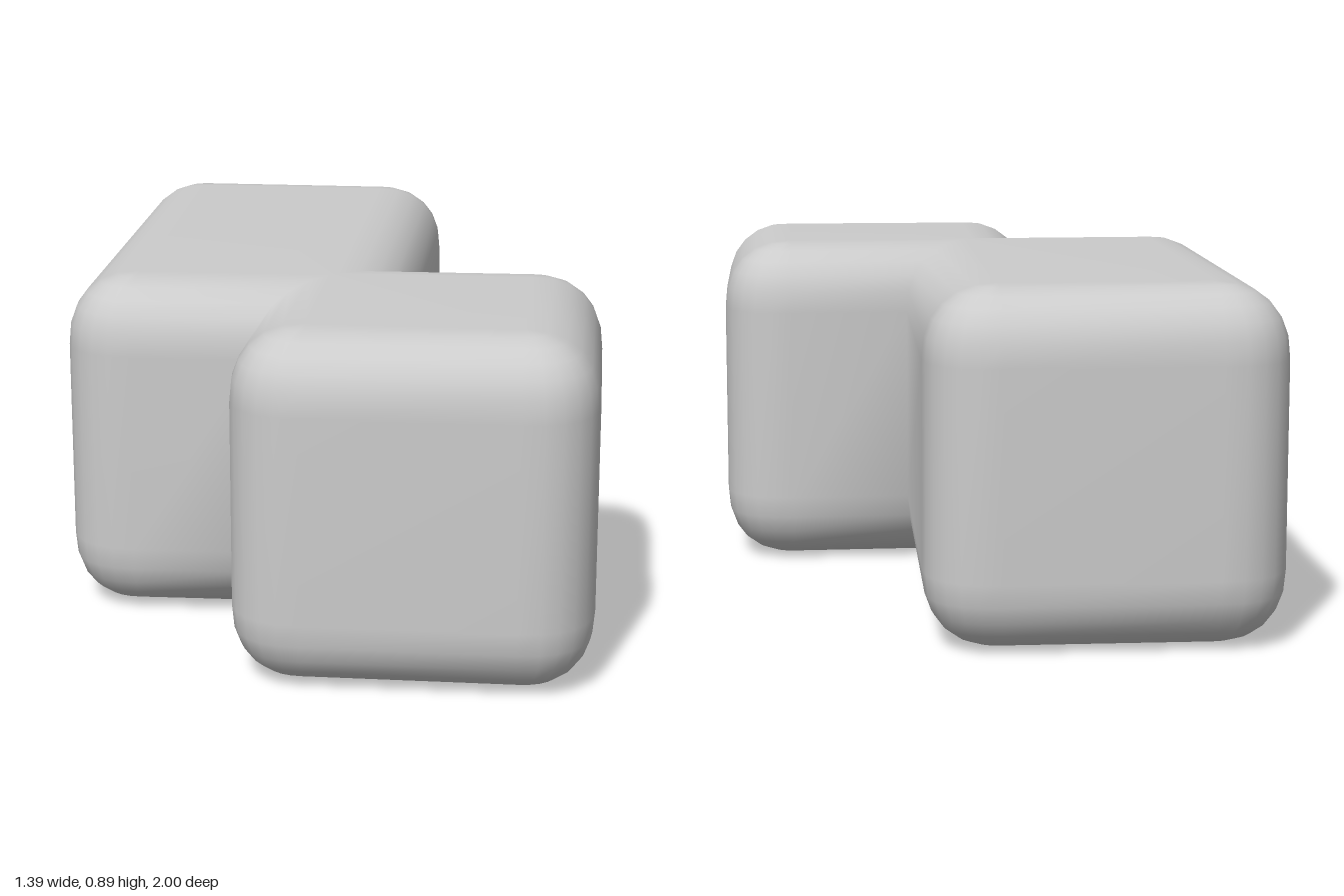
import * as THREE from 'three';
import { mergeVertices } from 'three/addons/utils/BufferGeometryUtils.js';

const HEIGHT = 0.89, R = 0.185, STEPS = 6, POWER = 2 / 2.3;

// footprint corners: x, z, outward signs, and the start of the corner arc (null = inner corner)
const CORNERS = [
  [-0.695, -1, -1, -1, 2],
  [0.2, -1, 1, -1, 3],
  [0.19, 0.11, 1, -1, null],
  [0.695, 0.1, 1, -1, 3],
  [0.695, 1, 1, 1, 0],
  [-0.2, 1, -1, 1, 1],
  [-0.19, 0.49, -1, 1, null],
  [-0.695, 0.5, -1, 1, 1],
];

// slightly squared-off rounding
const soft = (v) => Math.sign(v) * Math.pow(Math.abs(v), POWER);

// footprint as core points plus outward directions
function footprint() {
  const points = [], core = [];
  for (const [x, z, sx, sz, quarter] of CORNERS) {
    const cx = x - sx * R, cz = z - sz * R;
    core.push({ index: points.length, point: new THREE.Vector2(cx, cz) });
    if (quarter === null) {
      points.push([cx, cz, sx, sz]);
      continue;
    }
    for (let i = 0; i <= STEPS; i++) {
      const a = (quarter + i / STEPS) * Math.PI / 2;
      points.push([cx, cz, soft(Math.cos(a)), soft(Math.sin(a))]);
    }
  }
  return { points, core };
}

function roundedBody() {
  const { points, core } = footprint();
  const n = points.length, positions = [], index = [];

  // rings from the bottom cap, up the wall, to the top cap
  const rings = [];
  for (let i = 0; i <= STEPS; i++) {
    const a = (i / STEPS) * Math.PI / 2;
    rings.push([soft(Math.sin(a)), R - R * soft(Math.cos(a))]);
  }
  for (let i = STEPS; i >= 0; i--) rings.push([rings[i][0], HEIGHT - rings[i][1]]);
  for (const [s, y] of rings) {
    for (const [cx, cz, dx, dz] of points) positions.push(cx + dx * R * s, y, cz + dz * R * s);
  }

  // walls
  for (let r = 0; r < rings.length - 1; r++) {
    for (let i = 0; i < n; i++) {
      const a = r * n + i, b = r * n + (i + 1) % n;
      index.push(b, a, a + n, b, a + n, b + n);
    }
  }

  // flat bottom and top
  const top = (rings.length - 1) * n;
  for (const tri of THREE.ShapeUtils.triangulateShape(core.map((c) => c.point), [])) {
    const [a, b, c] = tri.map((k) => core[k].index);
    index.push(a, b, c, top + c, top + b, top + a);
  }

  let geometry = new THREE.BufferGeometry();
  geometry.setAttribute('position', new THREE.Float32BufferAttribute(positions, 3));
  geometry.setIndex(index);
  geometry = mergeVertices(geometry, 1e-4);
  geometry.computeVertexNormals();
  return geometry;
}

export function createModel() {
  const group = new THREE.Group();
  group.name = 'roundedBlock';
  const body = new THREE.Mesh(roundedBody(), new THREE.MeshStandardMaterial({ color: 0xcccccc }));
  body.name = 'steppedBody';
  group.add(body);
  return group;
}
